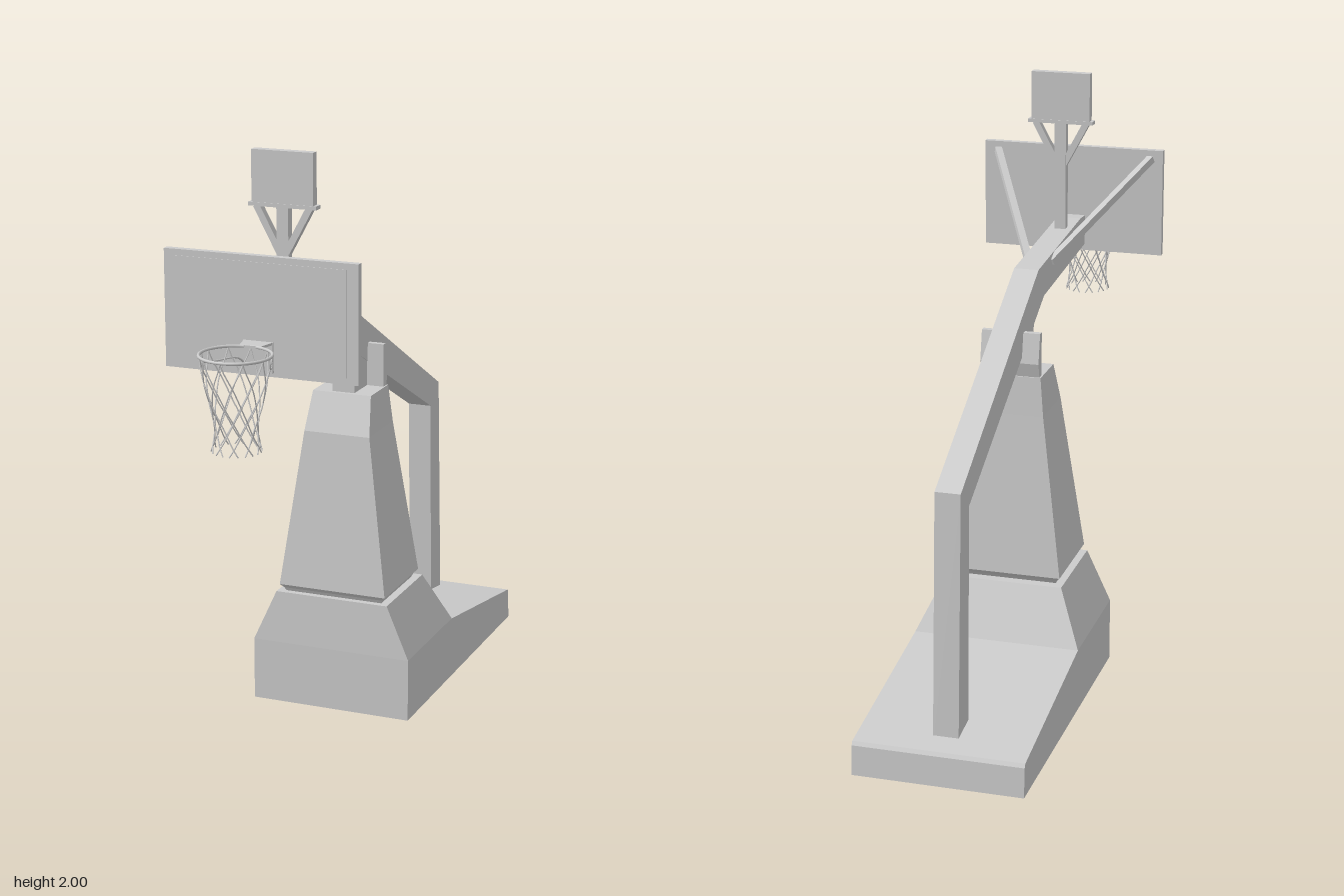
import * as THREE from 'three';

const grey = new THREE.MeshStandardMaterial({ color: 0xcccccc, side: THREE.DoubleSide });
const V = (x, y, z) => new THREE.Vector3(x, y, z);

function add(group, name, geometry) {
  const mesh = new THREE.Mesh(geometry, grey);
  mesh.name = name;
  group.add(mesh);
  return mesh;
}

// Box given by its low and high corners
function box(group, name, [x0, y0, z0], [x1, y1, z1]) {
  const g = new THREE.BoxGeometry(x1 - x0, y1 - y0, z1 - z0);
  g.translate((x0 + x1) / 2, (y0 + y1) / 2, (z0 + z1) / 2);
  return add(group, name, g);
}

// Side profile of [z, y] points, extruded across x
function sideExtrude(points, width) {
  const shape = new THREE.Shape(points.map(([z, y]) => new THREE.Vector2(z, y)));
  const g = new THREE.ExtrudeGeometry(shape, { depth: width, bevelEnabled: false });
  return g.translate(0, 0, -width / 2).rotateY(-Math.PI / 2);
}

// Rectangular sections [y, half width, back z, front z], joined with flat faces
function loft(sections) {
  const rings = sections.map(([y, w, b, f]) => [V(-w, y, f), V(w, y, f), V(w, y, b), V(-w, y, b)]);
  const pts = [];
  const quad = (a, b, c, d) => pts.push(a, b, c, a, c, d);
  for (let i = 0; i < rings.length - 1; i++) {
    for (let j = 0; j < 4; j++) {
      const k = (j + 1) % 4;
      quad(rings[i][j], rings[i][k], rings[i + 1][k], rings[i + 1][j]);
    }
  }
  quad(...rings[rings.length - 1]);
  quad(...[...rings[0]].reverse());
  const g = new THREE.BufferGeometry().setFromPoints(pts);
  g.computeVertexNormals();
  return g;
}

// Rectangular bar between two points
function bar(group, name, a, b, w, h) {
  const mesh = add(group, name, new THREE.BoxGeometry(w, h, a.distanceTo(b)));
  mesh.position.copy(a).add(b).multiplyScalar(0.5);
  mesh.lookAt(b);
  return mesh;
}

function tube(group, name, points, radius, segments, sides = 6) {
  const curve = new THREE.CatmullRomCurve3(points);
  return add(group, name, new THREE.TubeGeometry(curve, segments, radius, sides));
}

function buildBase(model) {
  const base = new THREE.Group();
  base.name = 'base';
  add(base, 'basePlatform', sideExtrude(
    [[0.12, 0], [0.12, 0.218], [-0.32, 0.218], [-0.955, 0.113], [-0.962, 0.1], [-0.97, 0]], 0.57));
  add(base, 'basePlinth', loft([[0.218, 0.285, -0.32, 0.12], [0.4, 0.203, -0.235, 0.112]]));
  add(base, 'towerPadding', loft([
    [0.4, 0.175, -0.2, 0.09], [0.412, 0.18, -0.208, 0.096], [0.425, 0.193, -0.22, 0.106],
    [0.97, 0.118, -0.16, 0.06], [1.102, 0.105, -0.147, 0.014]]));
  model.add(base);
}

function buildArm(model) {
  const arm = new THREE.Group();
  arm.name = 'arm';
  // Boom and rear leg as one bent beam
  add(arm, 'boom', sideExtrude([
    [0.66, 1.455], [0.6, 1.458], [0.05, 1.415], [-0.83, 0.935], [-0.875, 0.1],
    [-0.77, 0.1], [-0.747, 0.865], [0.12, 1.307], [0.66, 1.35]], 0.085));
  // Pivot post and cross block on top of the tower
  add(arm, 'pivotPost', sideExtrude([[0, 1.09], [0, 1.29], [-0.115, 1.24], [-0.115, 1.09]], 0.08));
  add(arm, 'pivotBlock', sideExtrude(
    [[-0.115, 1.09], [-0.115, 1.25], [-0.135, 1.25], [-0.155, 1.15], [-0.142, 1.1]], 0.2));
  model.add(arm);
}

function buildBackboard(model) {
  const board = new THREE.Group();
  board.name = 'backboard';
  box(board, 'boardPanel', [-0.323, 1.327, 0.66], [0.327, 1.705, 0.684]);
  box(board, 'boardInset', [-0.285, 1.348, 0.67], [0.289, 1.685, 0.686]);
  for (const s of [-1, 1]) {
    bar(board, 'boardStrut', V(s * 0.04, 1.4, 0.215), V(s * 0.28, 1.675, 0.662), 0.024, 0.024);
  }
  model.add(board);
}

function buildClock(model) {
  const clock = new THREE.Group();
  clock.name = 'shotClock';
  box(clock, 'clockPost', [-0.02, 1.42, 0.475], [0.02, 1.825, 0.505]);
  box(clock, 'clockShelf', [-0.115, 1.822, 0.473], [0.115, 1.834, 0.507]);
  box(clock, 'clockBox', [-0.104, 1.834, 0.475], [0.104, 2, 0.505]);
  for (const s of [-1, 1]) {
    bar(clock, 'clockBrace', V(s * 0.012, 1.68, 0.49), V(s * 0.09, 1.825, 0.49), 0.026, 0.022);
  }
  model.add(clock);
}

function buildHoop(model) {
  const hoop = new THREE.Group();
  hoop.name = 'hoop';
  const R = 0.112, cy = 1.434, cz = 0.856;
  add(hoop, 'rim', new THREE.TorusGeometry(R, 0.005, 8, 40).rotateX(Math.PI / 2))
    .position.set(0, cy, cz);

  // Bracket: wall plate and tapered top plate
  box(hoop, 'rimMount', [-0.05, 1.34, 0.684], [0.05, 1.438, 0.692]);
  const plate = new THREE.Shape([
    [-0.05, 0.686], [0.05, 0.686], [0.045, 0.705], [0.035, 0.75], [-0.035, 0.75], [-0.045, 0.705],
  ].map(([x, z]) => new THREE.Vector2(x, z)));
  add(hoop, 'rimPlate', new THREE.ExtrudeGeometry(plate, { depth: 0.008, bevelEnabled: false })
    .rotateX(Math.PI / 2)).position.y = 1.438;
  for (const s of [-1, 1]) {
    tube(hoop, 'rimBrace', [V(s * R, cy, cz), V(s * R, 1.402, cz - 0.005), V(s * 0.095, 1.393, 0.8),
      V(s * 0.055, 1.388, 0.72), V(s * 0.04, 1.36, 0.69)], 0.003, 16);
  }

  // Net: two sets of strands winding in opposite directions
  const profile = new THREE.CatmullRomCurve3(
    [V(0.112, 1.43, 0), V(0.1, 1.36, 0), V(0.079, 1.27, 0), V(0.066, 1.2, 0), V(0.078, 1.132, 0)]);
  const strands = 10, steps = 10;
  for (let i = 0; i < strands; i++) {
    for (const s of [-1, 1]) {
      const points = [];
      for (let k = 0; k <= steps; k++) {
        const t = k / steps, p = profile.getPoint(t);
        const a = (i / strands) * Math.PI * 2 + s * 1.75 * Math.pow(t, 1.3);
        points.push(V(p.x * Math.sin(a), p.y, cz + p.x * Math.cos(a)));
      }
      tube(hoop, 'netStrand', points, 0.0022, 20, 5);
    }
  }
  hoop.position.x = -0.004;
  model.add(hoop);
}

export function createModel() {
  const model = new THREE.Group();
  model.name = 'basketballHoop';
  buildBase(model);
  buildArm(model);
  buildBackboard(model);
  buildClock(model);
  buildHoop(model);
  for (const part of model.children) part.position.x -= 0.004;
  return model;
}
